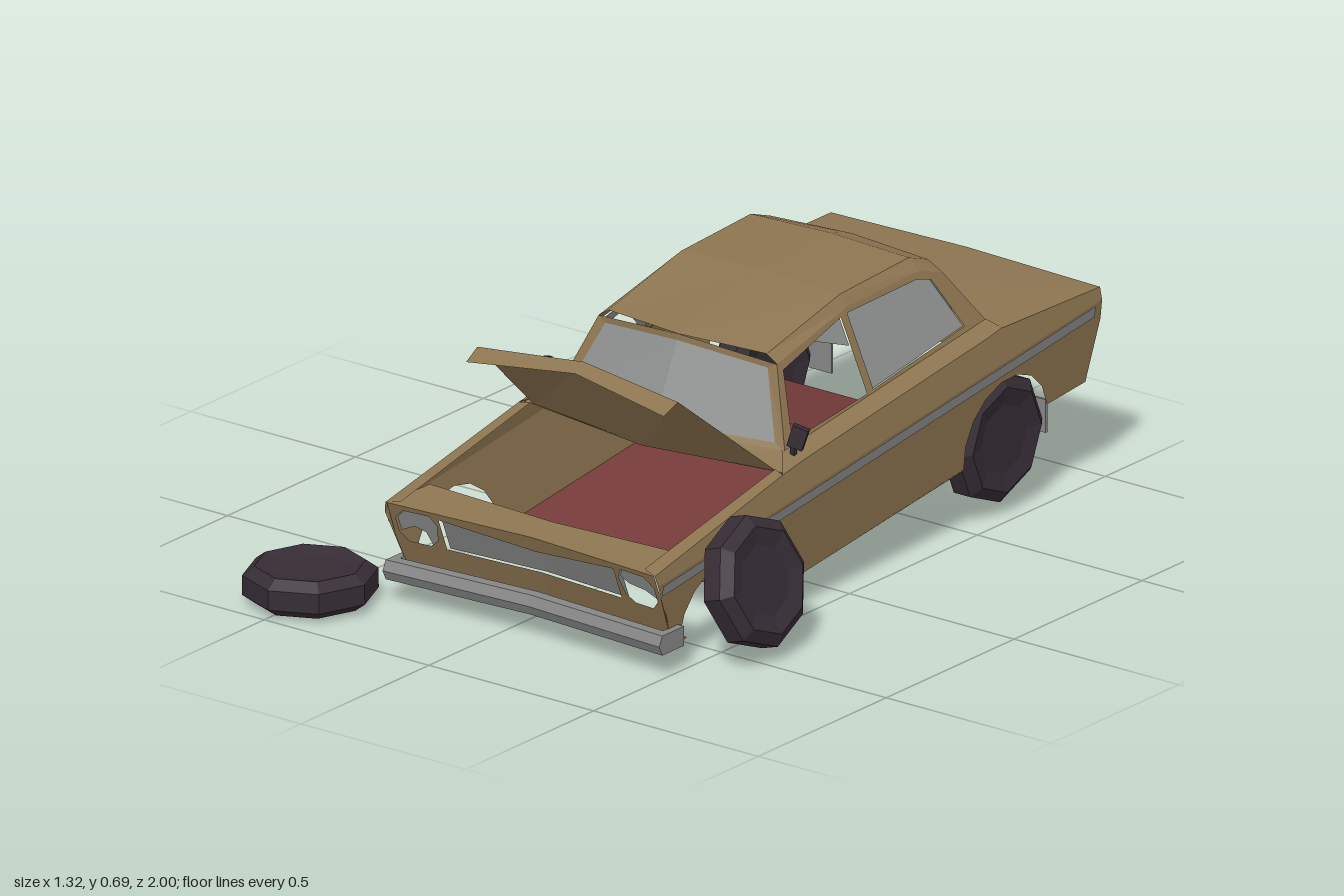
import * as THREE from 'three';

const mat = (name, color) => new THREE.MeshStandardMaterial({ name, color, flatShading: true, side: THREE.DoubleSide });

export function createModel() {
  const paint = mat('tan paint', 0x8c7450);
  const glass = mat('dusty glass', 0x8e9090);
  const metal = mat('dull metal', 0x858585);
  const rubber = mat('dark rubber', 0x362c35);
  const floorRed = mat('red floor', 0x763b3b);

  const root = new THREE.Group();
  root.name = 'wreckedCar';
  const car = new THREE.Group();
  car.name = 'car';
  car.position.x = 0.075;
  root.add(car);

  const add = (name, geo, material) => {
    const m = new THREE.Mesh(geo, material);
    m.name = name;
    car.add(m);
    return m;
  };

  // sheet lofted through rows of [x, y, z] points
  const surf = (rows) => {
    const n = rows[0].length, idx = [];
    for (let r = 0; r < rows.length - 1; r++) {
      for (let c = 0; c < n - 1; c++) {
        const a = r * n + c, b = a + 1, d = a + n, e = d + 1;
        idx.push(a, b, e, a, e, d);
      }
    }
    const g = new THREE.BufferGeometry();
    g.setAttribute('position', new THREE.Float32BufferAttribute(rows.flat(2), 3));
    g.setIndex(idx);
    g.computeVertexNormals();
    return g;
  };

  // flat outline, with holes, carried into space by a rule
  const panel = (outline, holes, rule, flip) => {
    const v = (p) => new THREE.Vector2(p[0], p[1]);
    const s = new THREE.Shape(outline.map(v));
    holes.forEach((h) => s.holes.push(new THREE.Path(h.map(v))));
    const g = new THREE.ShapeGeometry(s), p = g.attributes.position;
    for (let i = 0; i < p.count; i++) p.setXYZ(i, ...rule(p.getX(i), p.getY(i)));
    if (flip) g.index.array.reverse();
    g.computeVertexNormals();
    return g;
  };

  // width rules for the flanks and the cabin sides
  const crease = (z) => 0.295 + (0.31 - z) * 0.125;
  const lowHalf = (z, y) => 0.415 - 0.1 * (crease(z) - y);
  const topHalf = (z, y) => 0.415 - 0.2 * (y - crease(z));
  const cabHalf = (z, y) => 0.345 - 0.42 * (y - (0.40 + (0.15 - z) * 0.13));
  const onSide = (s, half, off = 0) => (z, y) => [s * (half(z, y) + off), y, z];

  const arch = (cz, cy, r, a0, a1) => Array.from({ length: 9 }, (_, i) => {
    const a = THREE.MathUtils.degToRad(a0 + (a1 - a0) * i / 8);
    return [cz + r * Math.cos(a), cy + r * Math.sin(a)];
  });

  const belt = [[0.74, 0.27], [0.23, 0.375], [0.14, 0.39], [-0.58, 0.485], [-0.63, 0.495], [-1, 0.49]];
  const flank = [
    [0.734, crease(0.734)], [-1, crease(-1)], [-1, 0.41], [-0.96, 0.255],
    ...arch(-0.65, 0.2, 0.165, 165, -11), ...arch(0.47, 0.07, 0.16, 178, 2), [0.65, 0.05],
  ];
  const cabin = [[0.15, 0.40], [0.085, 0.585], [-0.2, 0.645], [-0.47, 0.658], [-0.545, 0.635], [-0.635, 0.5]];
  const frontWin = [[0.115, 0.415], [0.07, 0.568], [-0.17, 0.628], [-0.175, 0.448]];
  const rearWin = [[-0.2, 0.452], [-0.195, 0.632], [-0.455, 0.642], [-0.5, 0.63], [-0.56, 0.505]];
  const nose = (s, off = 0) => (x, y) => [s * x, y, 0.74 - (0.27 - y) * 0.4 - 0.04 * (1 - x / 0.41) + off];
  const noseHalf = [[0, 0.05], [0.39, 0.05], [0.408, 0.15], [0.405, 0.27], [0, 0.262], [0, 0.22], [0.265, 0.25], [0.265, 0.165], [0, 0.16]];
  const lamp = [[0.285, 0.185], [0.31, 0.165], [0.37, 0.165], [0.392, 0.19], [0.392, 0.23], [0.365, 0.255], [0.29, 0.255], [0.275, 0.23]];

  for (const s of [1, -1]) {
    const side = s > 0 ? 'left' : 'right', out = s > 0;
    add(side + 'LowerFlank', panel(flank, [], onSide(s, lowHalf), out), paint);
    add(side + 'UpperFlank', panel([...belt, [-1, crease(-1)], [0.734, crease(0.734)]], [], onSide(s, topHalf), out), paint);
    add(side + 'Stripe', panel([[0.72, crease(0.72) - 0.004], [-0.97, crease(-0.97) - 0.004],
      [-0.97, crease(-0.97) - 0.032], [0.72, crease(0.72) - 0.03]], [], onSide(s, lowHalf, 0.004), out), metal);
    add(side + 'CabinSide', panel(cabin, [frontWin, rearWin], onSide(s, cabHalf), out), paint);
    add(side + 'RearSideGlass', panel(rearWin, [], onSide(s, cabHalf, -0.005), out), glass);

    // ledges between flank and engine bay, and flank and cabin
    const edge = belt.map(([z, y]) => [s * topHalf(z, y), y, z]);
    add(side + 'FenderLedge', surf([edge.slice(0, 2), [[s * 0.37, 0.277, 0.73], [s * 0.37, 0.38, 0.22]]]), paint);
    add(side + 'ShoulderLedge', surf([edge.slice(1, 5),
      [[s * 0.345, 0.40, 0.16], [s * 0.345, 0.402, 0.14], [s * 0.345, 0.495, -0.58], [s * 0.345, 0.503, -0.635]]]), paint);

    // front panel with grille and lamp openings
    add(side + 'NosePanel', panel(noseHalf, [lamp], nose(s), !out), paint);
    add(side + 'Grille', panel([[0, 0.155], [0.272, 0.16], [0.272, 0.255], [0, 0.225]], [], nose(s, -0.02), !out), metal);
    const shard = out ? [lamp[3], lamp[4], lamp[5], lamp[6], lamp[7], [0.3, 0.215], [0.35, 0.21]]
      : [lamp[0], lamp[1], [0.32, 0.2], [0.35, 0.21], lamp[3], lamp[4], lamp[5], lamp[6], lamp[7]];
    add(side + 'BrokenLampGlass', panel(shard, [], nose(s, -0.008), !out), glass);

    // mirrors and mud flaps
    const mirror = add(side + 'Mirror', new THREE.BoxGeometry(0.04, 0.055, 0.02), rubber);
    mirror.position.set(s * 0.382, 0.442, 0.145);
    mirror.rotation.set(0, s * 0.4, s * -0.3);
    const stalk = add(side + 'MirrorStalk', new THREE.BoxGeometry(0.012, 0.04, 0.012), rubber);
    stalk.position.set(s * 0.368, 0.405, 0.145);
    const flap = (n, z, y, h) => add(side + n, new THREE.BoxGeometry(0.13, h, 0.006), metal).position.set(s * 0.325, y, z);
    flap('FrontMudFlap', 0.298, 0.05, 0.075);
    flap('RearMudFlap', -0.815, 0.21, 0.085);
  }

  // broken front door glass
  add('rightFrontGlass', panel(frontWin, [[[0.085, 0.45], [0.045, 0.54], [-0.03, 0.565], [-0.15, 0.47]]], onSide(-1, cabHalf, -0.005), false), glass);
  add('leftGlassShard', panel([[-0.06, 0.6], [-0.17, 0.628], [-0.172, 0.56]], [], onSide(1, cabHalf, -0.005), true), glass);

  // symmetrical row: outer point, centre point, mirrored outer point
  const row = (h, y, z, cy = y, cz = z) => [[-h, y, z], [0, cy, cz], [h, y, z]];

  // roof, rolled down to the top of each cabin side
  add('roof', surf([[0.085, 0.585, 0.605, 0.125], [-0.2, 0.645, 0.672, -0.2], [-0.47, 0.658, 0.685, -0.47], [-0.545, 0.635, 0.658, -0.555]]
    .map(([z, y, top, cz]) => {
      const h = cabHalf(z, y);
      return [[-h, y, z], [-0.24, top, z], [0, top + 0.008, cz], [0.24, top, z], [h, y, z]];
    })), paint);

  // framed front and rear screens
  const screen = (name, low, high) => {
    const loop = [...low, ...[...high].reverse()];
    const mid = [0, 1, 2].map((k) => loop.reduce((t, p) => t + p[k], 0) / loop.length);
    const inner = loop.map((p) => {
      const side = p[0] !== 0;
      return [p[0] * 0.91, p[1] + (mid[1] - p[1]) * 0.14, p[2] + (mid[2] - p[2]) * (side ? 0.1 : 0.14)];
    });
    add(name + 'Frame', surf([[...loop, loop[0]], [...inner, inner[0]]]), paint);
    add(name + 'Glass', surf([inner.slice(0, 3), inner.slice(3).reverse()]), glass);
  };
  screen('windshield', row(0.345, 0.40, 0.15, 0.40, 0.225), row(cabHalf(0.085, 0.585), 0.585, 0.085, 0.613, 0.125));
  screen('rearWindow', row(0.345, 0.50, -0.635, 0.507, -0.65), row(cabHalf(-0.545, 0.635), 0.635, -0.545, 0.666, -0.555));

  // cowl, boot lid and tail
  add('cowl', surf([row(0.4, 0.372, 0.21, 0.375, 0.27), row(0.345, 0.40, 0.15, 0.40, 0.225)]), paint);
  add('bootAndTail', surf([
    row(0.402, 0.495, -0.63, 0.507, -0.645), row(topHalf(-1, 0.49), 0.49, -1, 0.498, -1),
    row(lowHalf(-1, 0.44), 0.44, -1), row(lowHalf(-1, 0.41), 0.41, -1), row(lowHalf(-0.96, 0.255), 0.255, -0.96),
  ]), paint);

  // nose top behind the front panel, and the strip below it
  add('noseTop', surf([row(0.405, 0.27, 0.74, 0.262, 0.697), row(0.375, 0.285, 0.61, 0.275, 0.61)]), paint);
  add('noseUnderside', surf([row(0.39, 0.05, 0.652, 0.05, 0.612), row(0.39, 0.065, 0.59, 0.065, 0.57)]), floorRed);

  // open hood with folded front lip
  add('openHood', surf([row(0.37, 0.37, 0.21, 0.368, 0.265), row(0.305, 0.625, 0.515, 0.65, 0.49), row(0.3, 0.602, 0.565, 0.63, 0.525)]), paint);

  // floor with a kick-up at the back
  add('floor', surf([row(0.393, 0.078, 0.3), row(0.393, 0.17, -0.48), row(0.393, 0.27, -0.5)]), floorRed);

  // wrap-around bumper
  add('bumper', surf([[-0.42, 0.64], [-0.42, 0.725], [0, 0.7], [0.42, 0.725], [0.42, 0.64]].map(([x, z], i) => {
    const bz = z - (i % 4 ? 0.03 : 0), bx = x * 0.95;
    return [[x, 0.065, z], [x, 0.09, z + (i % 4 ? 0.012 : 0)], [x, 0.115, z], [bx, 0.115, bz], [bx, 0.065, bz], [x, 0.065, z]];
  })), metal);

  // eight-sided wheels: two fitted, one leaning, one lying flat
  const tyre = new THREE.LatheGeometry([[0, -0.036], [0.09, -0.036], [0.135, -0.047], [0.165, -0.025], [0.165, 0.025],
    [0.135, 0.047], [0.09, 0.036], [0, 0.036]].map(([x, y]) => new THREE.Vector2(x, y)), 8);
  const wheel = (name, x, y, z, tilt) => {
    const w = add(name, tyre, rubber);
    w.position.set(x, y, z);
    w.rotation.z = tilt;
  };
  wheel('rearLeftWheel', 0.352, 0.2, -0.65, Math.PI / 2);
  wheel('rearRightWheel', -0.352, 0.2, -0.65, Math.PI / 2);
  wheel('leaningWheel', 0.5, 0.197, 0.47, Math.PI / 2 + 0.3);
  wheel('fallenWheel', -0.567, 0.057, 0.83, 0.02);

  return root;
}
